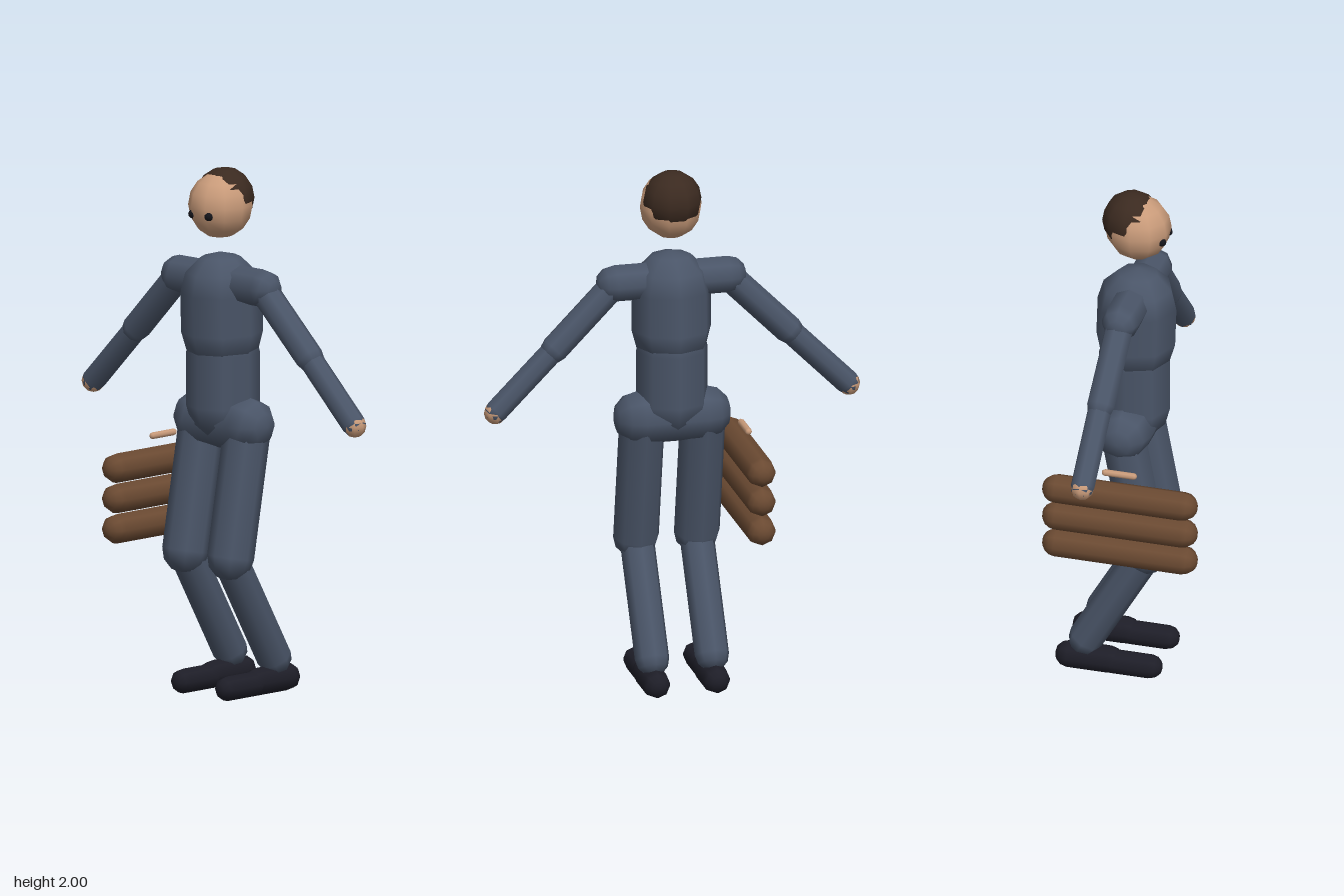
import * as THREE from 'three';

const mat = (name, color) => {
  const m = new THREE.MeshStandardMaterial({ color });
  m.name = name;
  return m;
};

export function createModel() {
  const suit = mat('slate cloth', 0x4a5568);
  const skin = mat('skin', 0xc99b7a);
  const hairMat = mat('dark brown hair', 0x3b2a20);
  const wood = mat('wood', 0x6b4a32);
  const shoe = mat('black leather', 0x1e1e28);
  const eyeMat = mat('eye black', 0x14141a);

  const model = new THREE.Group();
  model.name = 'figureWithLogs';
  const UP = new THREE.Vector3(0, 1, 0);

  // Eight-sided capsule whose end centres are a and b
  const capsule = (name, a, b, r, material, caps = 3) => {
    const p = new THREE.Vector3(...a), q = new THREE.Vector3(...b);
    const dir = q.clone().sub(p);
    const mesh = new THREE.Mesh(new THREE.CapsuleGeometry(r, dir.length(), caps, 8), material);
    mesh.position.copy(p).add(q).multiplyScalar(0.5);
    mesh.quaternion.setFromUnitVectors(UP, dir.normalize());
    mesh.name = name;
    model.add(mesh);
    return mesh;
  };

  const ball = (name, c, r, material, w = 10, h = 8) => {
    const mesh = new THREE.Mesh(new THREE.SphereGeometry(r, w, h), material);
    mesh.position.set(...c);
    mesh.name = name;
    model.add(mesh);
    return mesh;
  };

  // Head: the hair ball is offset up and back so that it emerges as a cap
  ball('head', [0, 1.86, -0.01], 0.125, skin).scale.set(0.95, 1, 1);
  ball('hair', [0, 1.888, -0.034], 0.112, hairMat);

  // Torso
  capsule('chest', [0, 1.38, -0.02], [0, 1.53, -0.015], 0.153, suit);
  capsule('waist', [0, 1.10, -0.025], [0, 1.3, -0.025], 0.138, suit);

  // Mirrored parts
  for (const [side, s] of [['left', 1], ['right', -1]]) {
    ball(side + 'Eye', [s * 0.042, 1.833, 0.094], 0.017, eyeMat, 8, 6);

    capsule(side + 'Shoulder', [0, 1.57, -0.015], [s * 0.217, 1.57, -0.015], 0.072, suit);
    capsule(side + 'UpperArm', [s * 0.225, 1.56, -0.015], [s * 0.45, 1.335, -0.025], 0.054, suit);
    capsule(side + 'Forearm', [s * 0.44, 1.345, -0.025], [s * 0.675, 1.11, -0.03], 0.046, suit);
    ball(side + 'Hand', [s * 0.68, 1.105, -0.03], 0.044, skin, 8, 6);

    capsule(side + 'Hip', [0, 1.04, -0.03], [s * 0.12, 1.04, -0.03], 0.106, suit);
    capsule(side + 'Thigh', [s * 0.117, 1.0, -0.03], [s * 0.117, 0.545, 0.055], 0.088, suit);
    capsule(side + 'Shin', [s * 0.115, 0.53, 0.05], [s * 0.115, 0.135, -0.18], 0.066, suit);
    capsule(side + 'Heel', [s * 0.115, 0.056, -0.245], [s * 0.115, 0.056, -0.09], 0.053, shoe);
    capsule(side + 'Toe', [s * 0.115, 0.05, -0.12], [s * 0.115, 0.05, 0.07], 0.047, shoe);
  }

  // Bundle of stacked logs with its small carrying handle
  [0.858, 0.743, 0.628].forEach((y, i) =>
    capsule('log' + (i + 1), [-0.288, y, -0.242], [-0.288, y, 0.247], 0.056, wood, 4));
  capsule('bundleHandle', [-0.288, 0.956, -0.055], [-0.288, 0.956, 0.055], 0.013, skin);

  return model;
}
